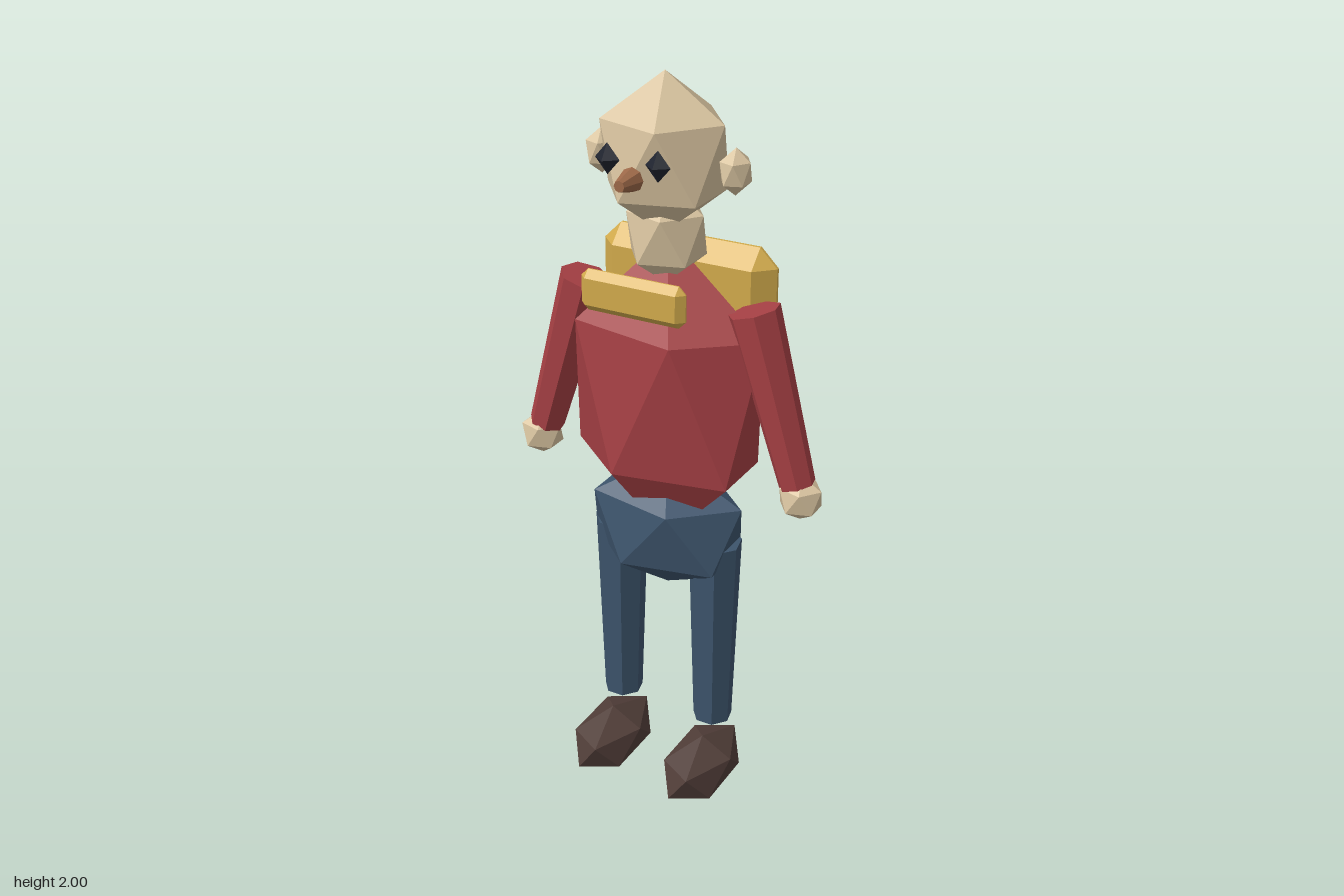
import * as THREE from 'three';
import { ConvexGeometry } from 'three/addons/geometries/ConvexGeometry.js';

const mat = (name, color) => {
  const m = new THREE.MeshStandardMaterial({ color });
  m.name = name;
  return m;
};

export function createModel() {
  const model = new THREE.Group();
  model.name = 'figure';

  const skin = mat('skin', 0xd9c4a0);
  const red = mat('red cloth', 0xa64044);
  const blue = mat('blue cloth', 0x3d546c);
  const gold = mat('gold', 0xd2ab4c);
  const leather = mat('dark leather', 0x513e39);
  const black = mat('eye black', 0x20242f);
  const brown = mat('nose brown', 0x9c6848);

  const add = (name, geometry, material, x, y, z) => {
    const mesh = new THREE.Mesh(geometry, material);
    mesh.name = name;
    mesh.position.set(x, y, z);
    model.add(mesh);
    return mesh;
  };

  // Faceted ball: an icosahedron standing on a vertex, one upper-ring corner towards +x
  const ball = (rx, ry, rz) => {
    const points = [new THREE.Vector3(0, ry, 0), new THREE.Vector3(0, -ry, 0)];
    for (const side of [1, -1]) {
      for (let i = 0; i < 5; i++) {
        const a = (i * Math.PI * 2) / 5;
        points.push(new THREE.Vector3(
          side * 0.8944 * Math.cos(a) * rx, side * 0.4472 * ry, 0.8944 * Math.sin(a) * rz));
      }
    }
    return new ConvexGeometry(points);
  };

  // Box with every edge chamfered by b
  const chamferBox = (hx, hy, hz, b) => {
    const points = [];
    for (const sx of [-1, 1]) for (const sy of [-1, 1]) for (const sz of [-1, 1]) {
      points.push(
        new THREE.Vector3(sx * hx, sy * (hy - b), sz * (hz - b)),
        new THREE.Vector3(sx * (hx - b), sy * hy, sz * (hz - b)),
        new THREE.Vector3(sx * (hx - b), sy * (hy - b), sz * hz));
    }
    return new ConvexGeometry(points);
  };

  // Tapered limb with flat sides
  const limb = (top, bottom, length, sides = 7) => {
    const g = new THREE.CylinderGeometry(top, bottom, length, sides).rotateY(Math.PI).toNonIndexed();
    g.computeVertexNormals();
    return g;
  };

  // Head, neck and trunk
  add('head', ball(0.177, 0.2, 0.165), skin, 0, 1.8, -0.018);
  add('neck', ball(0.112, 0.13, 0.108), skin, 0, 1.6, -0.028);
  add('torso', ball(0.298, 0.425, 0.176), red, 0, 1.17, -0.035);
  add('pelvis', ball(0.242, 0.19, 0.159), blue, 0, 0.795, -0.036);

  // Nose points forward
  add('nose', limb(0.014, 0.03, 0.06, 8).rotateX(Math.PI / 2), brown, 0, 1.78, 0.168);

  // Back pack and chest bar
  add('backPack', chamferBox(0.245, 0.144, 0.052, 0.048), gold, 0, 1.415, -0.148);
  add('chestBar', chamferBox(0.143, 0.053, 0.021, 0.019), gold, 0, 1.487, 0.137);

  // Paired parts
  for (const [side, s] of [['left', 1], ['right', -1]]) {
    add(side + 'Eye', new THREE.OctahedronGeometry(1).scale(0.033, 0.038, 0.027)
      .applyMatrix4(new THREE.Matrix4()), black, s * 0.067, 1.82, 0.136);
    add(side + 'Ear', ball(0.042, 0.058, 0.048), skin, s * 0.182, 1.78, -0.031);

    const arm = add(side + 'Arm', limb(0.067, 0.048, 0.462), red, s * 0.304, 1.22, -0.034);
    arm.rotation.z = s * 0.29;
    add(side + 'Hand', ball(0.062, 0.062, 0.06), skin, s * 0.383, 0.968, -0.03);

    add(side + 'Leg', limb(0.072, 0.054, 0.555), blue, s * 0.142, 0.492, -0.036);
    add(side + 'Shoe', ball(0.098, 0.0875, 0.171), leather, s * 0.143, 0.0895, 0.024);
  }

  return model;
}
